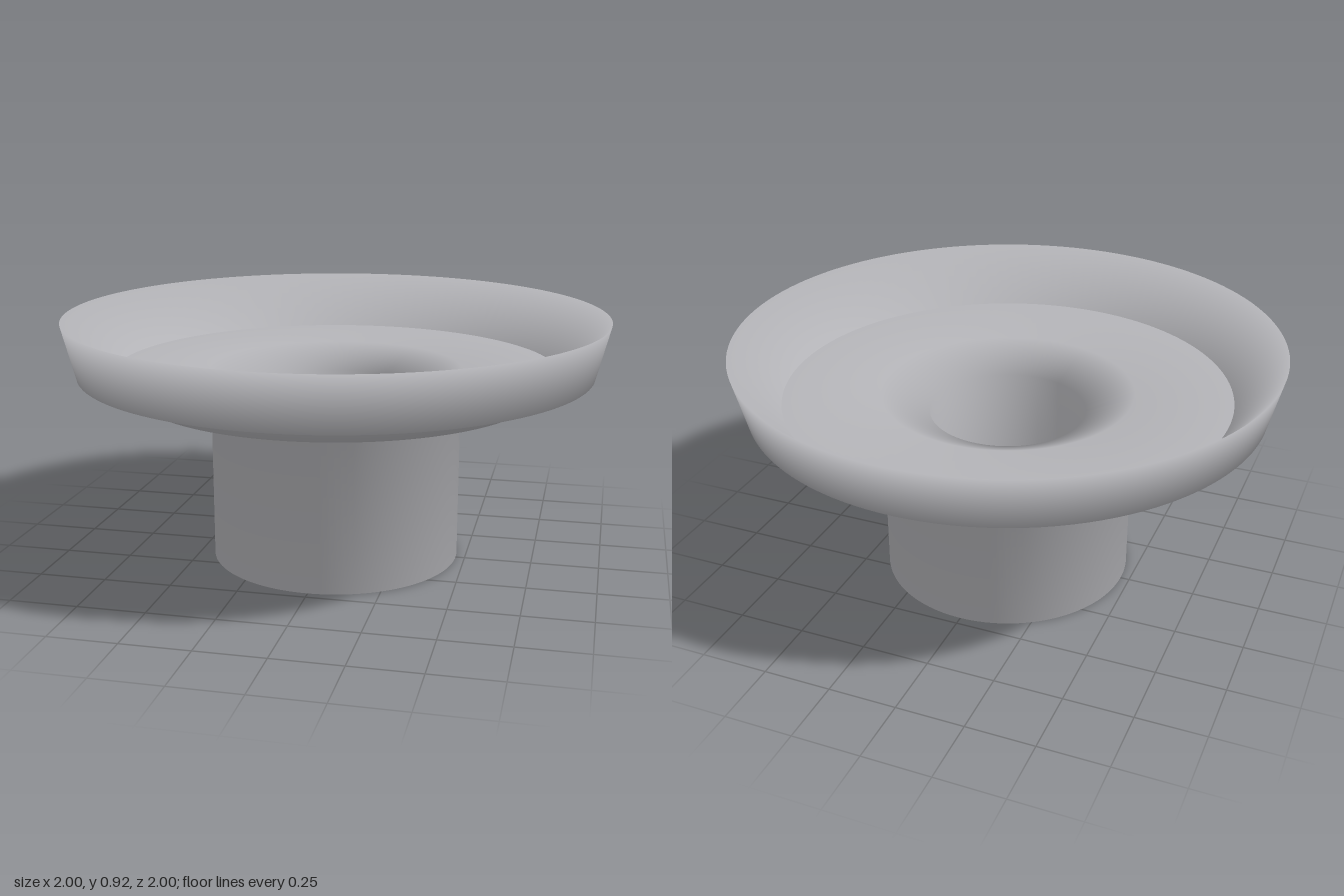
import * as THREE from 'three';

const SEGMENTS = 128;

export function createModel() {
  const group = new THREE.Group();
  group.name = 'flangedCup';

  const grey = new THREE.MeshStandardMaterial({ color: 0xb4b4b8 });
  grey.name = 'plain grey';

  // Revolves a [radius, height] profile; outer walls run upwards, inner walls downwards
  const revolve = (name, profile) => {
    const points = profile.map(([r, y]) => new THREE.Vector2(r, y));
    const mesh = new THREE.Mesh(new THREE.LatheGeometry(points, SEGMENTS), grey);
    mesh.name = name;
    group.add(mesh);
  };

  // Bottom ring, tube wall, flange underside and its bevel
  revolve('tubeAndFlange', [[0.29, 0], [0.466, 0], [0.466, 0.64], [0.75, 0.64], [0.825, 0.72]]);

  // Flared rim, with a sloping inner face
  revolve('rim', [[0.825, 0.72], [0.95, 0.72], [1, 0.92], [0.825, 0.72]]);

  // Dish floor, countersink and through hole
  revolve('floorAndBore', [[0.825, 0.72], [0.466, 0.72], [0.29, 0.64], [0.29, 0]]);

  return group;
}
